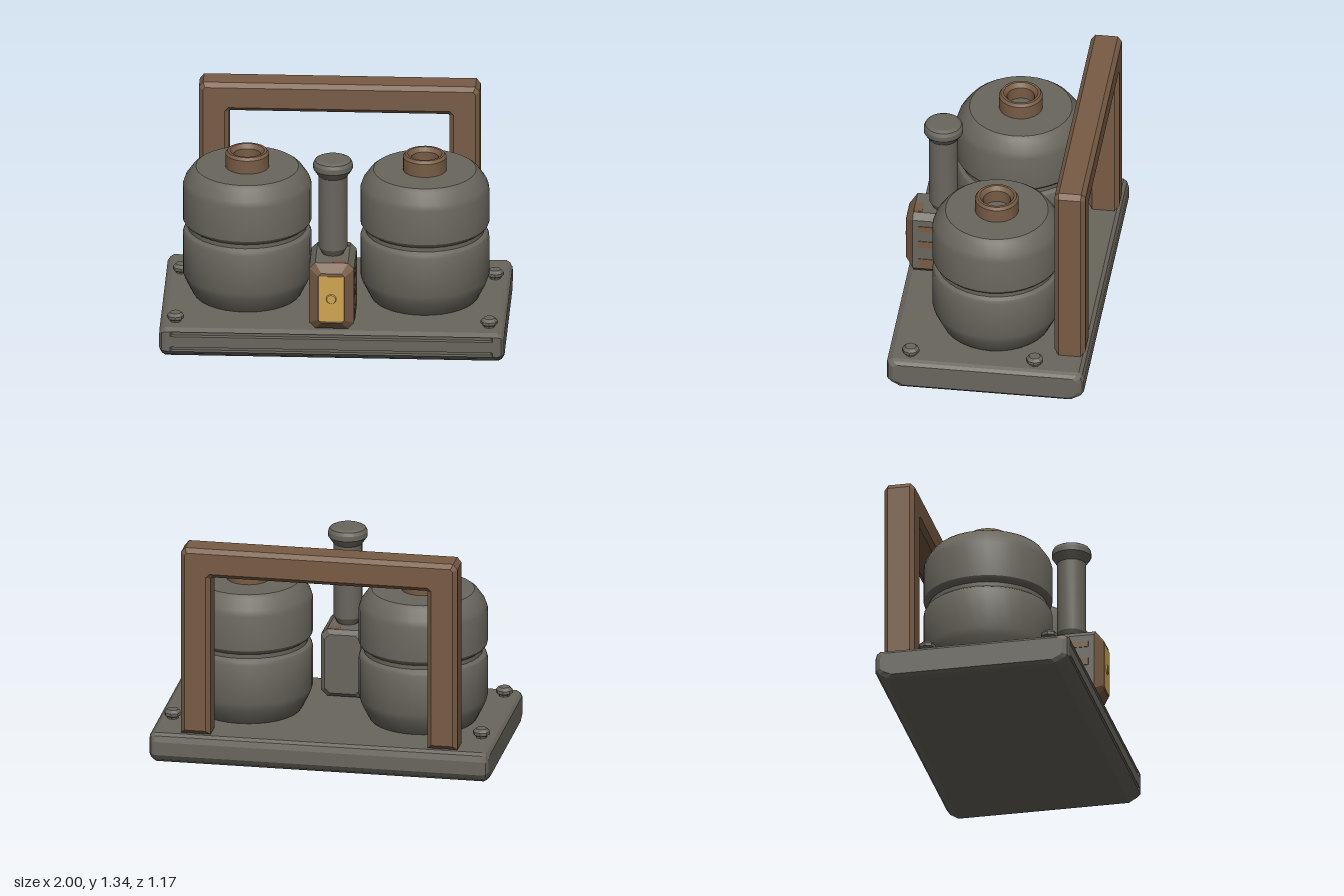
import * as THREE from 'three';
import { toCreasedNormals } from 'three/addons/utils/BufferGeometryUtils.js';

const mat = (name, color) => {
  const m = new THREE.MeshStandardMaterial({ color });
  m.name = name;
  return m;
};

// Joins rings of points (counter-clockwise seen from the far end) into a flat-faced solid.
function loft(rings) {
  const out = [];
  const n = rings[0].length;
  const tri = (a, b, c) => out.push(...a, ...b, ...c);
  for (let r = 0; r < rings.length - 1; r++) {
    const lo = rings[r], hi = rings[r + 1];
    for (let i = 0; i < n; i++) {
      const j = (i + 1) % n;
      tri(lo[i], lo[j], hi[j]);
      tri(lo[i], hi[j], hi[i]);
    }
  }
  const first = rings[0], last = rings[rings.length - 1];
  for (let i = 1; i < n - 1; i++) {
    tri(first[0], first[i + 1], first[i]);
    tri(last[0], last[i], last[i + 1]);
  }
  const g = new THREE.BufferGeometry();
  g.setAttribute('position', new THREE.Float32BufferAttribute(out, 3));
  g.computeVertexNormals();
  return g;
}

// Turned part; points run [radius, y] from bottom to top.
const turned = (pts, sides, crease = 0.4) =>
  toCreasedNormals(new THREE.LatheGeometry(pts.map(p => new THREE.Vector2(...p)), sides), crease);

// Cross-section of the base at x, with two grooves of the given depth in the front edge.
function baseRing(x, ky, kz, groove) {
  const f = 0.57, g = f - groove;
  const pts = [
    [0, -0.51], [0.03, -0.56], [0.06, -0.58], [0.14, -0.58], [0.175, -0.57], [0.19, -0.55],
    [0.19, 0.54], [0.172, f], [0.17, g], [0.145, g], [0.143, f],
    [0.077, f], [0.075, g], [0.053, g], [0.051, f], [0.03, 0.55], [0, 0.5],
  ];
  return pts.map(([y, z]) => [x, 0.095 + (y - 0.095) * ky, -0.005 + (z + 0.005) * kz]);
}

// Rectangle with cut corners in the xy plane.
function cutRect(z, w, h, cy, c) {
  return [[w, -h + c], [w, h - c], [w - c, h], [-w + c, h], [-w, h - c], [-w, -h + c], [-w + c, -h], [w - c, -h]]
    .map(([x, y]) => [x, cy + y, z]);
}

export function createModel() {
  const group = new THREE.Group();
  const steel = mat('dark steel', 0x69665d);
  const rust = mat('rusty brown', 0x785c45);
  const brass = mat('brass yellow', 0xcfa552);

  const add = (name, geo, material, x = 0, y = 0, z = 0, parent = group) => {
    const m = new THREE.Mesh(geo, material);
    m.name = name;
    m.position.set(x, y, z);
    parent.add(m);
    return m;
  };

  // Base slab with bevelled ends and grooved front
  const half = [[1, 0.72, 0.94, 0], [0.985, 0.9, 0.985, 0], [0.965, 1, 1, 0], [0.935, 1, 1, 0], [0.925, 1, 1, 0.025]];
  const stations = [...half.map(([x, ...r]) => [-x, ...r]), ...half.slice().reverse()];
  add('base', loft(stations.map(s => baseRing(...s))), steel);

  // Corner bolts
  const boltGeo = turned([[0.033, 0.185], [0.033, 0.2], [0.05, 0.21], [0.05, 0.228], [0.033, 0.245], [0, 0.245]], 8);
  for (const x of [-0.91, 0.91]) for (const z of [-0.285, 0.44]) add('bolt', boltGeo, steel, x, 0, z);

  // Twin tanks with open filler necks
  const tankGeo = turned([
    [0, 0.185], [0.3, 0.185], [0.315, 0.2], [0.36, 0.29], [0.374, 0.33], [0.374, 0.57], [0.365, 0.59],
    [0.345, 0.605], [0.345, 0.63], [0.365, 0.645], [0.374, 0.66], [0.374, 0.87], [0.362, 0.905],
    [0.32, 0.965], [0.298, 0.982], [0, 0.982],
  ], 32, 0.5);
  const neckGeo = turned([
    [0.127, 0.97], [0.127, 1.063], [0.115, 1.08], [0.1, 1.08], [0.08, 1.055], [0.08, 0.98],
  ], 24);
  for (const x of [-0.515, 0.515]) {
    add('tank', tankGeo, steel, x, 0, -0.01);
    add('fillerNeck', neckGeo, rust, x, 0, -0.01);
  }

  // Carrying handle: bevelled arch
  const right = [[0.665, 0.22], [0.79, 0.22], [0.79, 1.295], [0.778, 1.31]];
  const inner = [[0.665, 1.165], [0.643, 1.187]];
  const flip = a => a.map(([x, y]) => [-x, y]).reverse();
  const outline = [...right, ...flip(right), ...flip(inner).reverse(), ...inner.slice().reverse()];
  const arch = new THREE.Shape(outline.map(p => new THREE.Vector2(...p)));
  const handleGeo = new THREE.ExtrudeGeometry(arch, {
    depth: 0.13, bevelEnabled: true, bevelSegments: 1, bevelSize: 0.025, bevelThickness: 0.025,
  });
  add('handle', handleGeo, rust, 0, 0, -0.54);

  // Control box: steel body, rusty front frame and side strips
  const box = new THREE.Group();
  box.name = 'controlBox';
  group.add(box);
  const cy = 0.405;
  add('boxBody', loft([
    cutRect(0.2, 0.105, 0.18, cy, 0.03), cutRect(0.225, 0.13, 0.205, cy, 0.035), cutRect(0.535, 0.13, 0.205, cy, 0.035),
  ]), steel, 0, 0, 0, box);
  add('boxFrontFrame', loft([
    cutRect(0.535, 0.13, 0.205, cy, 0.035), cutRect(0.578, 0.078, 0.155, cy, 0.02),
  ]), rust, 0, 0, 0, box);
  const strips = [ // z centre, y centre, depth, height
    [0.325, 0.405, 0.15, 0.33], [0.45, 0.5175, 0.1, 0.035], [0.45, 0.4075, 0.1, 0.045], [0.45, 0.2725, 0.1, 0.065],
  ];
  for (const s of [-1, 1]) {
    for (const [z, y, d, h] of strips) {
      add('sideStrip', new THREE.BoxGeometry(0.008, h, d), rust, s * 0.13, y, z, box);
    }
  }
  add('topPatch', new THREE.BoxGeometry(0.07, 0.006, 0.05), rust, 0.06, 0.609, 0.25, box);
  add('topPatch', new THREE.BoxGeometry(0.08, 0.006, 0.05), rust, 0.045, 0.609, 0.51, box);

  // Brass front plate and button
  add('frontPlate', new THREE.BoxGeometry(0.14, 0.28, 0.008), brass, 0, 0.403, 0.578, box);
  const buttonGeo = new THREE.CylinderGeometry(0.026, 0.032, 0.012, 12);
  buttonGeo.rotateX(Math.PI / 2);
  add('button', buttonGeo, brass, 0, 0.403, 0.584, box);

  // Exhaust pipe with flared cap
  add('exhaustPipe', turned([
    [0.06, 0.59], [0.06, 0.605], [0.084, 0.65], [0.084, 1.095], [0.115, 1.14], [0.115, 1.17],
    [0.105, 1.19], [0.085, 1.2], [0, 1.2],
  ], 20), steel, 0, 0, 0.372);

  return group;
}
